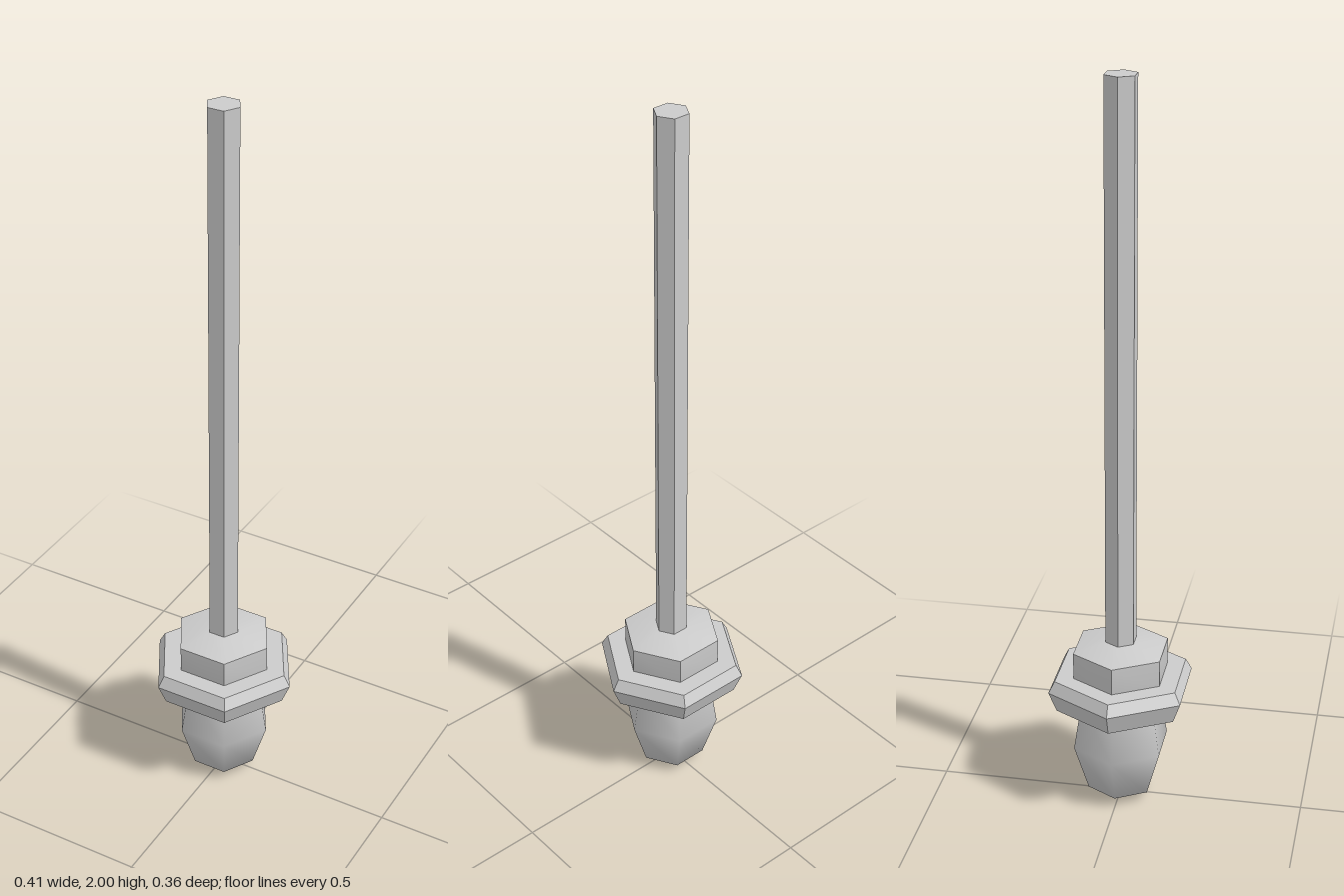
import * as THREE from 'three';
import { toCreasedNormals } from 'three/addons/utils/BufferGeometryUtils.js';

const SIDES = 6;
const CREASE = THREE.MathUtils.degToRad(40);

// Six-sided turned part from [radius, y] pairs listed bottom to top, corners on the x axis
function hexPart(name, profile, material, smooth = false) {
  const points = profile.map(([r, y]) => new THREE.Vector2(r, y));
  const lathe = new THREE.LatheGeometry(points, SIDES, Math.PI / 2);
  const mesh = new THREE.Mesh(smooth ? lathe : toCreasedNormals(lathe, CREASE), material);
  mesh.name = name;
  return mesh;
}

export function createModel() {
  const model = new THREE.Group();
  model.name = 'hangingLamp';
  const grey = new THREE.MeshStandardMaterial({ color: 0xcccccc });

  // Long hexagonal rod with a flat top
  model.add(hexPart('rod', [
    [0.044, 0.46], [0.044, 2], [0, 2],
  ], grey));

  // Cap with a shallow sloping top
  model.add(hexPart('cap', [
    [0, 0.29], [0.115, 0.29], [0.135, 0.37], [0.135, 0.456], [0.044, 0.476], [0, 0.476],
  ], grey));

  // Wide collar with bevelled rims
  model.add(hexPart('collar', [
    [0, 0.292], [0.183, 0.292], [0.206, 0.35], [0.188, 0.382], [0, 0.382],
  ], grey));

  // Softly shaded bulb tapering to a blunt point
  model.add(hexPart('bulb', [
    [0, 0.005], [0.094, 0.034], [0.135, 0.165], [0.113, 0.3],
  ], grey, true));

  return model;
}
